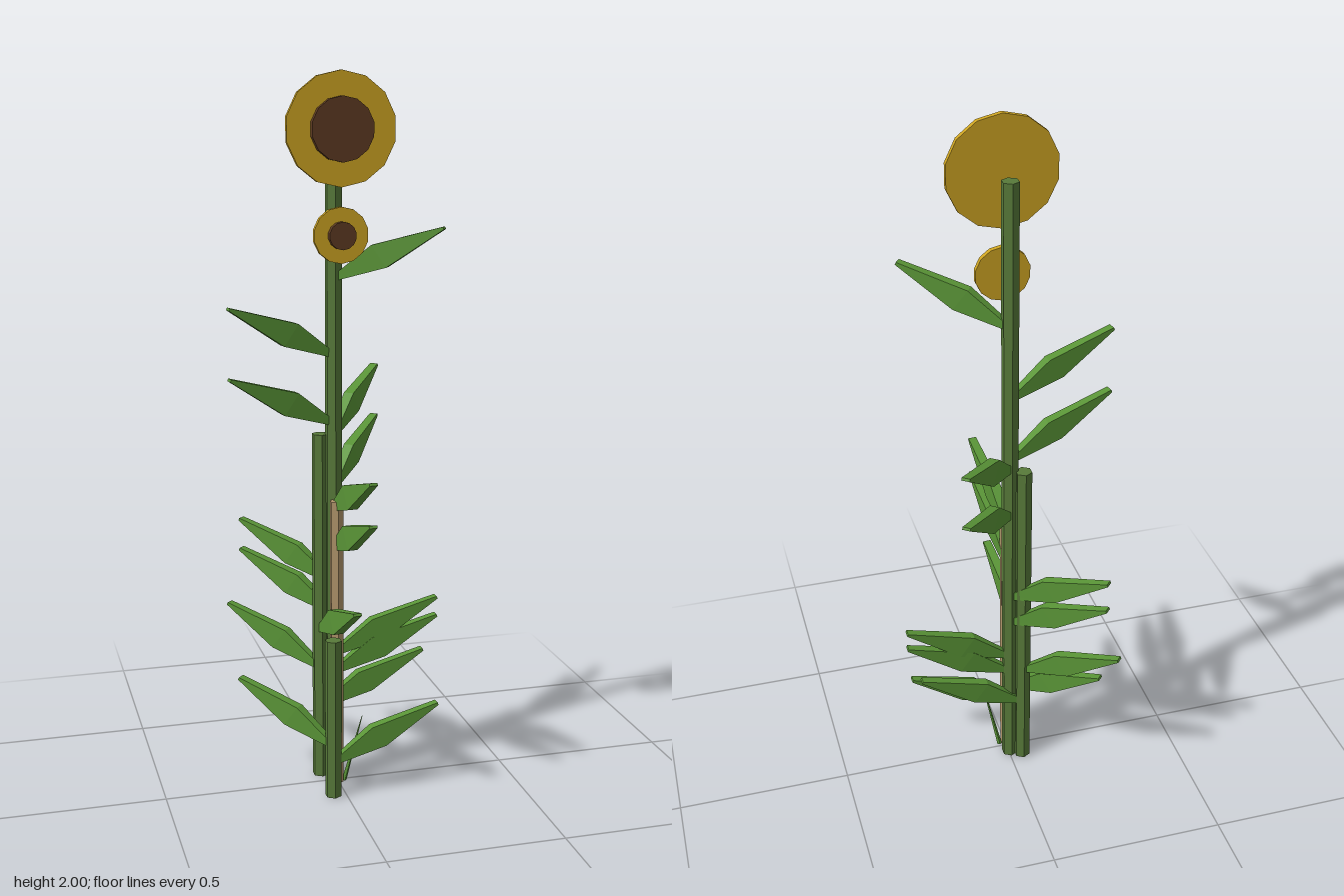
import * as THREE from 'three';

const mat = (name, color) => {
  const m = new THREE.MeshStandardMaterial({ color, flatShading: true });
  m.name = name;
  return m;
};

// Folded leaf growing along +x: three rectangular sections, diamond-shaped from the side
function leafGeometry() {
  const sections = [
    { top: [0.0, 0.01], low: [0.0, -0.005], w: 0.010 },
    { top: [0.11, 0.097], low: [0.152, 0.038], w: 0.0145 },
    { top: [0.305, 0.15], low: [0.308, 0.143], w: 0.0115 },
  ];
  const pos = [];
  const index = [];
  sections.forEach(({ top, low, w }) => {
    pos.push(...top, -w, ...top, w, ...low, w, ...low, -w);
  });
  for (let i = 0; i < sections.length - 1; i++) {
    for (let j = 0; j < 4; j++) {
      const a = i * 4 + j;
      const b = i * 4 + ((j + 1) % 4);
      index.push(a, b, b + 4, a, b + 4, a + 4);
    }
  }
  index.push(0, 2, 1, 0, 3, 2, 8, 9, 10, 8, 10, 11);
  const g = new THREE.BufferGeometry();
  g.setAttribute('position', new THREE.Float32BufferAttribute(pos, 3));
  g.setIndex(index);
  const flat = g.toNonIndexed();
  flat.computeVertexNormals();
  return flat;
}

export function createModel() {
  const root = new THREE.Group();
  root.name = 'sunflowerPlant';
  const stemGreen = mat('stemGreen', 0x587a3a);
  const leafGreen = mat('leafGreen', 0x5a9537);
  const petalYellow = mat('petalYellow', 0xcca322);
  const seedBrown = mat('seedBrown', 0x5c3a22);
  const stakeTan = mat('stakeTan', 0xb0946a);
  const leafGeo = leafGeometry();

  const add = (parent, name, geo, material, x = 0, y = 0, z = 0) => {
    const m = new THREE.Mesh(geo, material);
    m.name = name;
    m.position.set(x, y, z);
    parent.add(m);
    return m;
  };

  // Each leaf: [tip x, tip z, tip height]
  const plants = [
    {
      name: 'tallPlant', x: -0.003, z: -0.03, height: 1.85,
      leaves: [
        [0.26, 0.14, 1.6], [-0.3, 0.025, 1.39], [-0.3, 0.025, 1.2],
        [0.185, -0.275, 1.17], [0.185, -0.275, 1.02],
        [0.025, 0.28, 0.955], [0.025, 0.28, 0.84],
        [-0.228, -0.24, 0.74], [-0.228, -0.24, 0.65],
        [0.305, -0.03, 0.525], [0.305, -0.03, 0.47],
      ],
    },
    {
      name: 'middlePlant', x: -0.037, z: -0.048, height: 1.02,
      leaves: [[-0.012, 0.26, 0.595], [-0.262, -0.256, 0.48], [0.27, -0.052, 0.36]],
    },
    {
      name: 'shortPlant', x: -0.037, z: 0.098, height: 0.465,
      leaves: [[-0.262, -0.115, 0.3], [0.27, 0.093, 0.25]],
    },
  ];
  for (const p of plants) {
    const plant = new THREE.Group();
    plant.name = p.name;
    plant.position.set(p.x, 0, p.z);
    root.add(plant);
    add(plant, 'stem', new THREE.CylinderGeometry(0.024, 0.024, p.height, 6), stemGreen, 0, p.height / 2, 0);
    for (const [tx, tz, tipY] of p.leaves) {
      const leaf = add(plant, 'leaf', leafGeo, leafGreen, 0, tipY - 0.15, 0);
      leaf.rotation.y = Math.atan2(-(tz - p.z), tx - p.x);
    }
  }

  // Support stake
  add(root, 'stake', new THREE.CylinderGeometry(0.02, 0.02, 0.84, 6), stakeTan, -0.005, 0.42, 0.012);

  // Thin young shoots leaning out at the foot
  const up = new THREE.Vector3(0, 1, 0);
  for (const [tx, tz, ty] of [[0.06, 0.05, 0.21], [-0.04, 0.055, 0.2]]) {
    const base = new THREE.Vector3(tx * 0.3, 0, 0.01);
    const dir = new THREE.Vector3(tx, ty, tz).sub(base);
    const len = dir.length();
    const geo = new THREE.CylinderGeometry(0.001, 0.007, len, 4).translate(0, len / 2, 0);
    const shoot = add(root, 'shoot', geo, leafGreen, base.x, 0, base.z);
    shoot.quaternion.setFromUnitVectors(up, dir.normalize());
  }

  // Flower heads: petal disc with a raised seed disc
  const disc = (r, depth, sides) => new THREE.CylinderGeometry(r, r, depth, sides).rotateX(Math.PI / 2);
  for (const [name, y, r, seedR] of [['largeFlower', 1.85, 0.15, 0.085], ['smallFlower', 1.575, 0.075, 0.037]]) {
    const flower = new THREE.Group();
    flower.name = name;
    flower.position.set(-0.002, y, 0.042);
    root.add(flower);
    add(flower, 'petalDisc', disc(r, 0.016, 14), petalYellow);
    add(flower, 'seedDisc', disc(seedR, 0.02, 14), seedBrown, 0, 0, 0.017);
  }
  return root;
}
